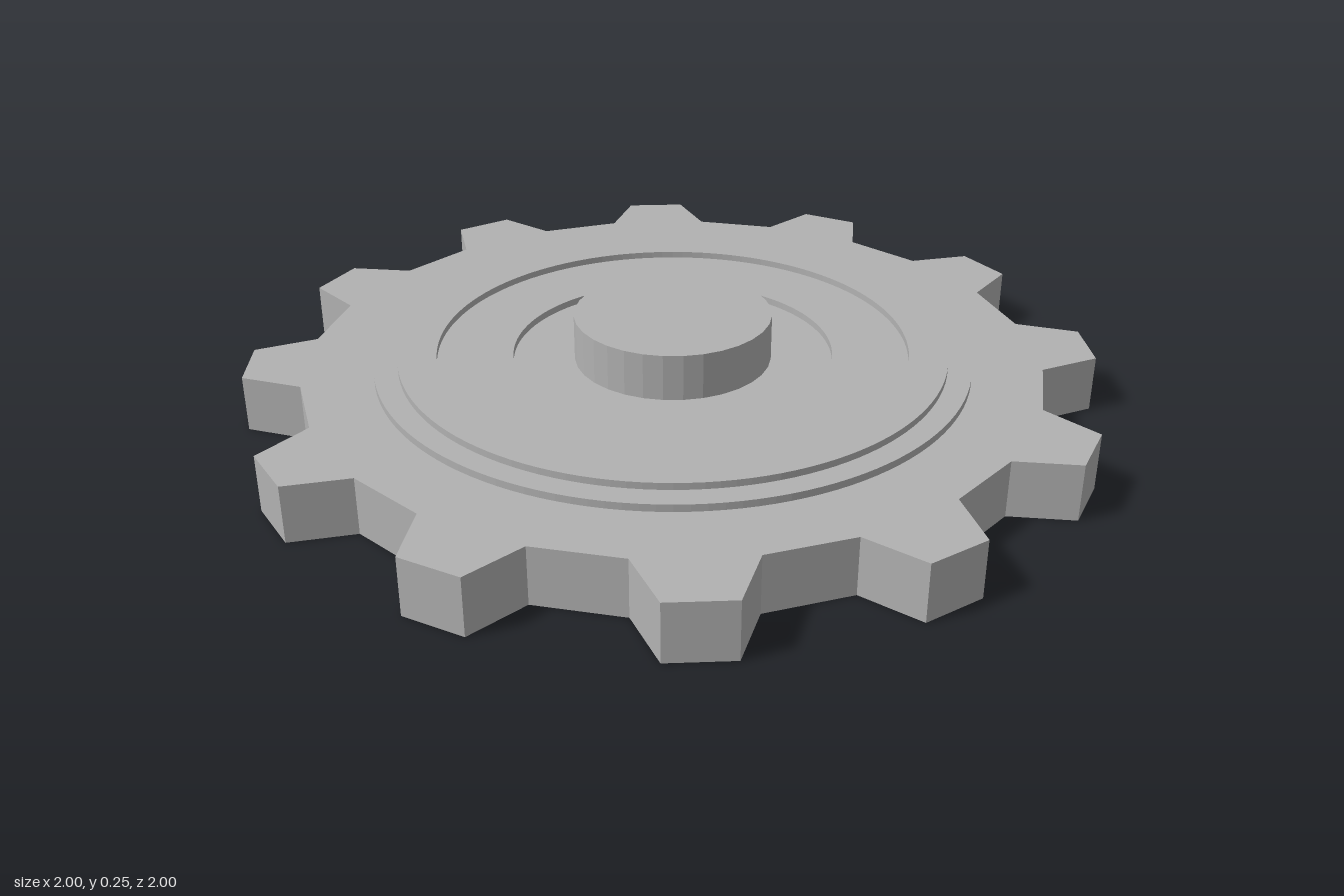
import * as THREE from 'three';

const TEETH = 12;
const BODY_TOP = 0.135, STEP_TOP = 0.152, RIM_TOP = 0.168, HUB_TOP = 0.245;

export function createModel() {
  const group = new THREE.Group();
  const steel = new THREE.MeshStandardMaterial({ color: 0xb2b2b2, flatShading: true });
  steel.name = 'grey steel';

  const add = (name, geometry) => {
    const mesh = new THREE.Mesh(geometry, steel);
    mesh.name = name;
    group.add(mesh);
  };

  // Lay an extruded outline flat, spanning heights from bottom to top
  const slab = (shape, bottom, top) =>
    new THREE.ExtrudeGeometry(shape, { depth: top - bottom, bevelEnabled: false, curveSegments: 64 })
      .rotateX(Math.PI / 2)
      .translate(0, top, 0);

  const ring = (outer, inner) => {
    const shape = new THREE.Shape().absarc(0, 0, outer, 0, Math.PI * 2);
    shape.holes.push(new THREE.Path().absarc(0, 0, inner, 0, Math.PI * 2, true));
    return shape;
  };

  // Toothed body: root, root, tip, tip for each tooth (degrees, radius)
  const tooth = [[0, 0.867], [13.3, 0.867], [17.4, 1.0025], [25.8, 1.0025]];
  const outline = [];
  for (let i = 0; i < TEETH; i++) {
    for (const [degrees, radius] of tooth) {
      const a = THREE.MathUtils.degToRad(degrees + i * 360 / TEETH);
      outline.push(new THREE.Vector2(radius * Math.cos(a), radius * Math.sin(a)));
    }
  }
  add('toothedBody', slab(new THREE.Shape(outline), 0, BODY_TOP));

  // Stepped rings around a sunken centre
  add('lowerRing', slab(ring(0.70, 0.377), BODY_TOP, STEP_TOP));
  add('raisedRim', slab(ring(0.645, 0.555), STEP_TOP, RIM_TOP));

  // Central hub
  const hubHeight = HUB_TOP - BODY_TOP;
  add('hub', new THREE.CylinderGeometry(0.233, 0.233, hubHeight, 32)
    .translate(0, BODY_TOP + hubHeight / 2, 0));

  return group;
}
